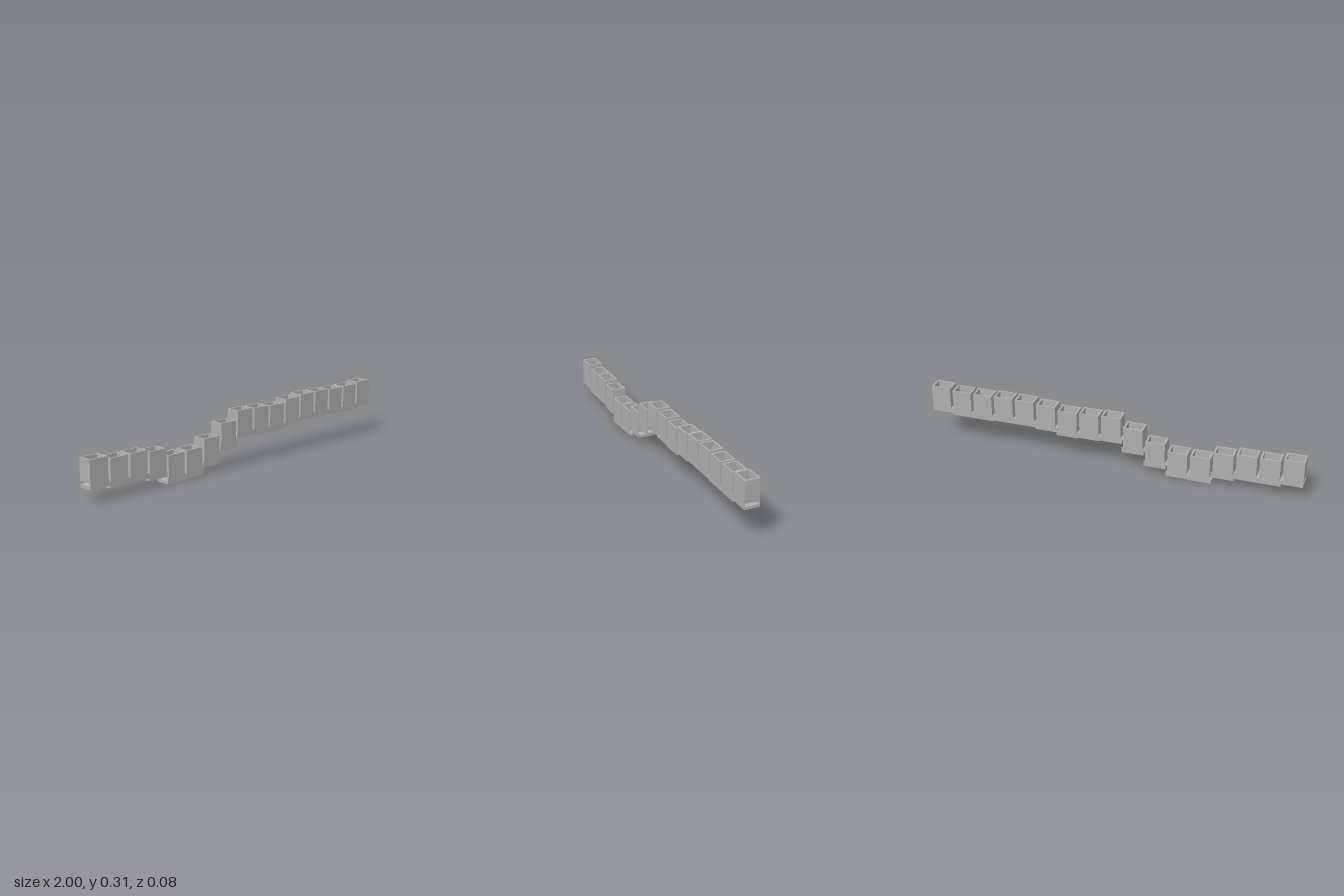
import * as THREE from 'three';

const PITCH = 0.1185, BODY = 0.104, DEPTH = 0.077, HEIGHT = 0.143;
const FLOOR = 0.015, SLOT_TOP = 0.03, SKIRT = 0.002;
// base height of every bin along the chain, from -x to +x
const BASES = [0.067, 0.052, 0.052, 0.039, 0, 0.003, 0.04, 0.1, 0.147,
  0.142, 0.137, 0.153, 0.162, 0.162, 0.157, 0.157, 0.167];

export function createModel() {
  const gray = new THREE.MeshStandardMaterial({ color: 0xb0b0b0 });
  gray.name = 'plain gray';
  const chain = new THREE.Group();
  chain.name = 'binChain';

  // open rectangular tube for the bin walls
  const rim = new THREE.Shape();
  const rect = (path, w, d) => path.moveTo(-w, -d).lineTo(w, -d).lineTo(w, d).lineTo(-w, d).closePath();
  rect(rim, BODY / 2, DEPTH / 2);
  const hole = new THREE.Path();
  rect(hole, BODY / 2 - 0.009, DEPTH / 2 - 0.007);
  rim.holes.push(hole);
  const walls = new THREE.ExtrudeGeometry(rim, { depth: HEIGHT - SLOT_TOP, bevelEnabled: false });
  walls.rotateX(-Math.PI / 2);

  const box = (parent, name, w, h, d, x, y, z) => {
    const mesh = new THREE.Mesh(new THREE.BoxGeometry(w, h, d), gray);
    mesh.name = name;
    mesh.position.set(x, y, z);
    parent.add(mesh);
  };

  BASES.forEach((base, i) => {
    const x = (i - (BASES.length - 1) / 2) * PITCH;
    const bin = new THREE.Group();
    bin.name = 'bin' + (i + 1);
    bin.position.set(x, base, 0);

    const shell = new THREE.Mesh(walls, gray);
    shell.name = 'binWalls';
    shell.position.y = SLOT_TOP;
    bin.add(shell);
    box(bin, 'binBottom', BODY - 0.018, 0.008, DEPTH - 0.014, 0, SLOT_TOP + 0.004, 0);

    // channel under the bin, cut flush at the ends of the chain
    const left = Math.max(-1, x - PITCH / 2) - x;
    const right = Math.min(1, x + PITCH / 2) - x;
    const w = right - left, cx = (left + right) / 2;
    box(bin, 'channelFloor', w, FLOOR, DEPTH, cx, FLOOR / 2, 0);
    for (const side of [-1, 1]) {
      box(bin, 'channelSide', w, SLOT_TOP - FLOOR, SKIRT, cx, (SLOT_TOP + FLOOR) / 2,
        side * (DEPTH - SKIRT) / 2);
    }
    chain.add(bin);
  });
  return chain;
}
